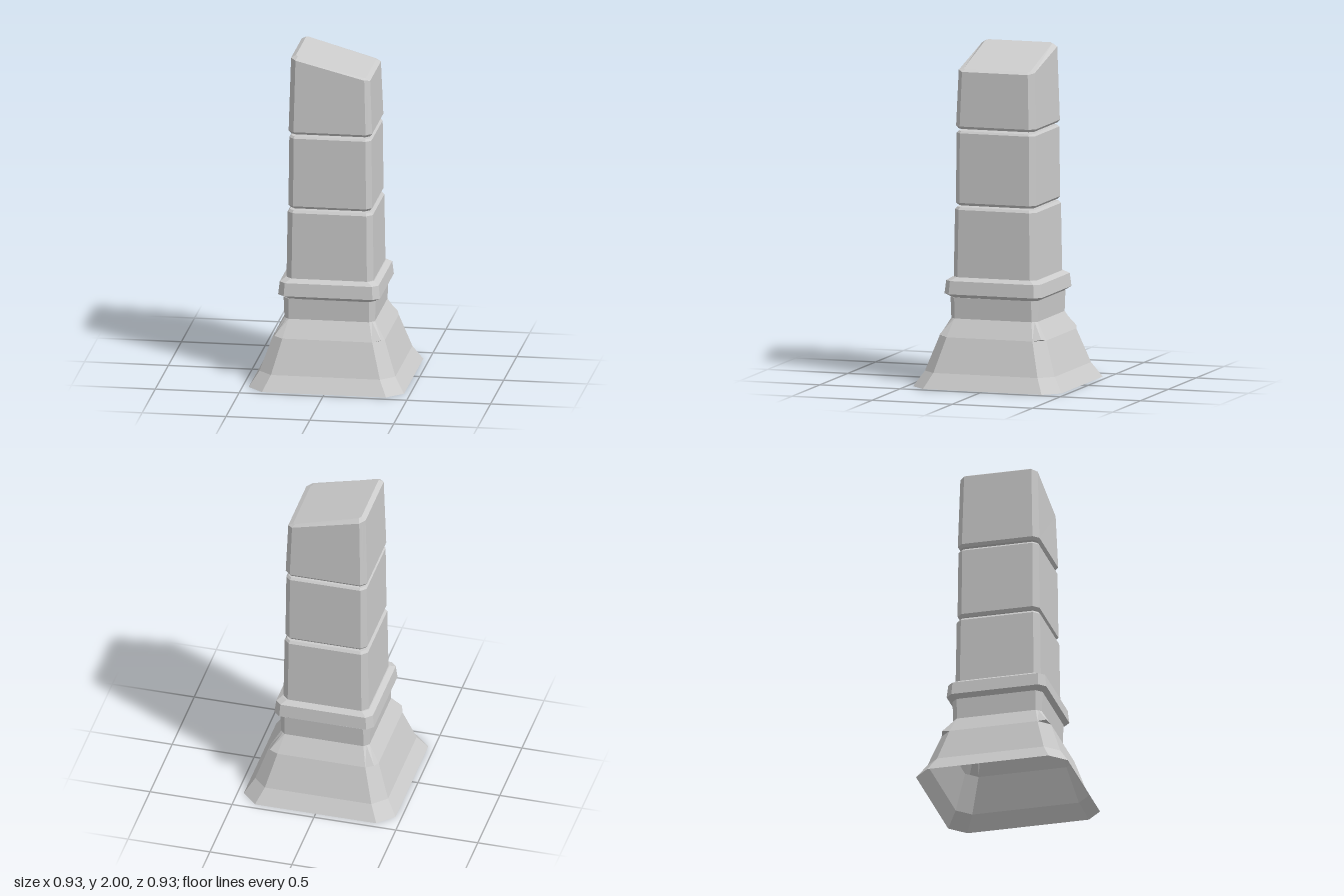
import * as THREE from 'three';

// Square ring with cut corners: w = half width, f = half length of each flat side.
// tip pushes the middle of each corner out to (tip, tip); slope tilts the ring along x.
function ring(y, w, f, { tip = (w + f) / 2, tipY = y, slope = 0 } = {}) {
  const pts = [];
  for (let q = 0; q < 4; q++) {
    for (const [a, b, h] of [[w, f, y], [tip, tip, tipY], [f, w, y]]) {
      const [x, z] = [[a, -b], [-b, -a], [-a, b], [b, a]][q];
      pts.push(new THREE.Vector3(x, h + slope * x, z));
    }
  }
  return pts;
}

// Joins rings from bottom to top, with optional flat ends.
function loft(name, rings, material, capBottom = true, capTop = true) {
  const pos = [];
  const area = new THREE.Triangle();
  const tri = (a, b, c) => {
    if (area.set(a, b, c).getArea() > 1e-8) for (const p of [a, b, c]) pos.push(p.x, p.y, p.z);
  };
  const centre = (r) => r.reduce((s, p) => s.add(p), new THREE.Vector3()).divideScalar(r.length);
  const n = rings[0].length;
  const last = rings[rings.length - 1];
  const c0 = centre(rings[0]);
  const c1 = centre(last);
  for (let i = 0; i < n; i++) {
    const j = (i + 1) % n;
    for (let k = 0; k + 1 < rings.length; k++) {
      const lo = rings[k];
      const hi = rings[k + 1];
      tri(lo[i], lo[j], hi[j]);
      tri(lo[i], hi[j], hi[i]);
    }
    if (capBottom) tri(c0, rings[0][j], rings[0][i]);
    if (capTop) tri(c1, last[i], last[j]);
  }
  const geometry = new THREE.BufferGeometry();
  geometry.setAttribute('position', new THREE.Float32BufferAttribute(pos, 3));
  geometry.computeVertexNormals();
  const mesh = new THREE.Mesh(geometry, material);
  mesh.name = name;
  return mesh;
}

export function createModel() {
  const group = new THREE.Group();
  group.name = 'pillar';
  const stone = new THREE.MeshStandardMaterial({ color: 0xcccccc, flatShading: true });
  const shell = stone.clone();
  shell.side = THREE.DoubleSide;

  // Hollow flared foot, its corner panels ending under a pointed notch
  group.add(loft('flaredBase', [
    ring(0, 0.463, 0.37),
    ring(0.09, 0.405, 0.325),
    ring(0.295, 0.333, 0.268),
    ring(0.295, 0.333, 0.268, { tip: 0.318, tipY: 0.305 }),
    ring(0.4, 0.27, 0.24),
    ring(0.525, 0.275, 0.24),
  ], shell, false, false));

  // Collar moulding
  group.add(loft('collar', [
    ring(0.525, 0.27, 0.235),
    ring(0.547, 0.304, 0.265),
    ring(0.625, 0.295, 0.26),
    ring(0.645, 0.265, 0.23),
  ], stone));

  // Lower shaft block
  group.add(loft('lowerBlock', [
    ring(0.64, 0.26, 0.225),
    ring(1.045, 0.254, 0.22),
    ring(1.06, 0.242, 0.215),
  ], stone));

  // Middle block, set off by narrow gaps
  group.add(loft('middleBlock', [
    ring(1.07, 0.235, 0.21),
    ring(1.086, 0.25, 0.217),
    ring(1.5, 0.245, 0.215),
    ring(1.512, 0.235, 0.21),
  ], stone));

  // Top block with a slanted, bevelled top
  group.add(loft('slantedTopBlock', [
    ring(1.525, 0.235, 0.21),
    ring(1.541, 0.249, 0.215),
    ring(1.925, 0.236, 0.205, { slope: -0.255 }),
    ring(1.939, 0.208, 0.195, { slope: -0.295 }),
  ], stone));

  return group;
}
